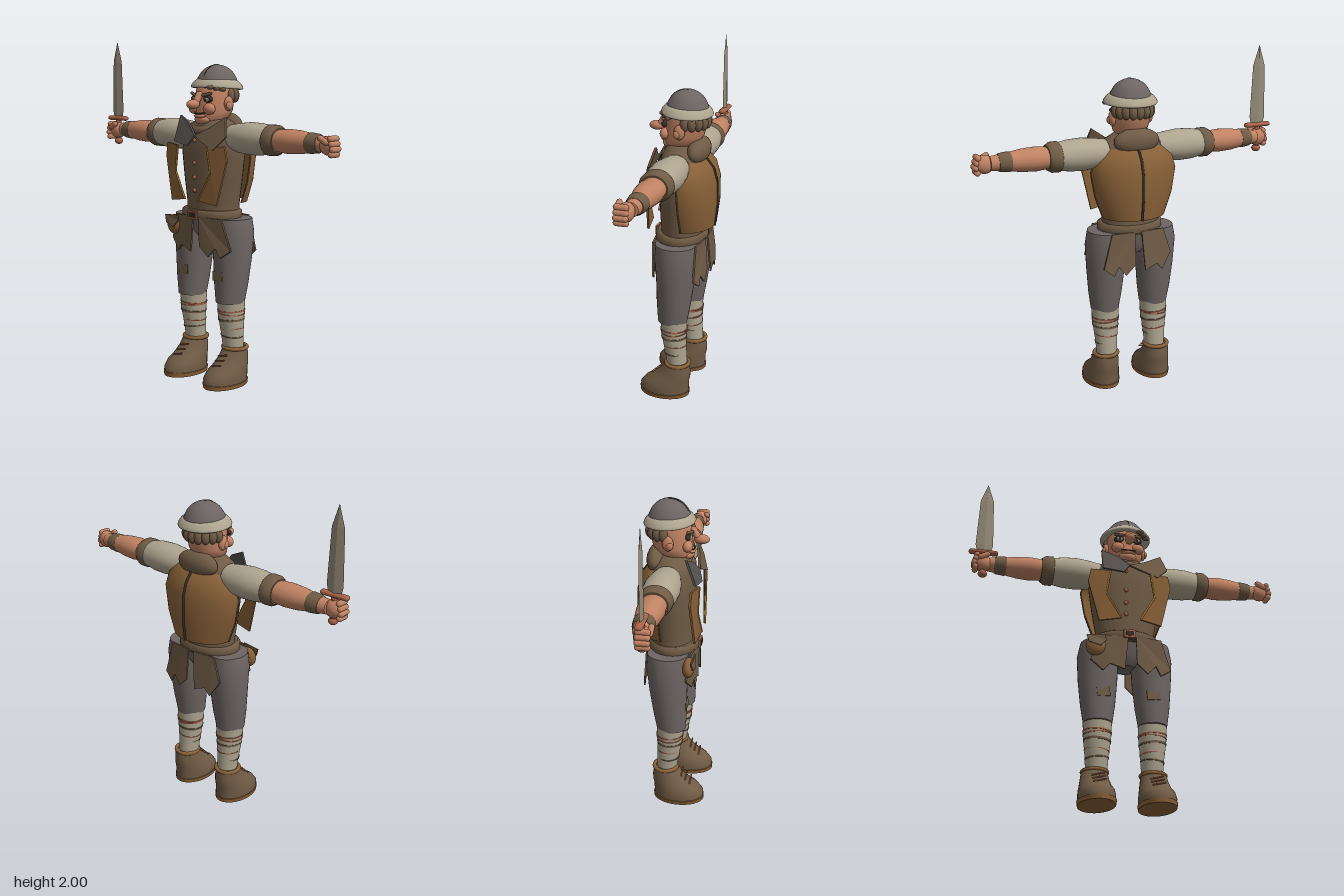
import * as THREE from 'three';

const mat = (name, color, side = THREE.FrontSide) => {
  const m = new THREE.MeshStandardMaterial({ color, side });
  m.name = name;
  return m;
};
const D = THREE.DoubleSide;
const skin = mat('skin', 0xc08263), cream = mat('cream cloth', 0xaea48f), tunic = mat('brown cloth', 0x6f5b45, D),
  leather = mat('leather', 0x876037, D), wool = mat('grey wool', 0x6d6563), steel = mat('dark grey', 0x57524f, D),
  dark = mat('near black', 0x332e29), gold = mat('gold trim', 0xa87c34), rust = mat('rust', 0xa8644a),
  blade = mat('blade', 0x958b78);

function add(parent, name, geo, material, x = 0, y = 0, z = 0) {
  const m = new THREE.Mesh(geo, material);
  m.name = name;
  m.position.set(x, y, z);
  parent.add(m);
  return m;
}

function group(parent, name) {
  const g = new THREE.Group();
  g.name = name;
  parent.add(g);
  return g;
}

// Elliptical cross-sections [y, rx, rz, cx, cz] joined upwards; closed rings get end caps
function loft(sections, n = 32, from = 0, sweep = Math.PI * 2) {
  const closed = sweep > 6.28, pos = [], idx = [];
  const flat = ([y, , , cx, cz]) => [y, 0, 0, cx, cz];
  const first = sections[0], last = sections[sections.length - 1];
  const rings = closed ? [flat(first), first, ...sections, last, flat(last)] : sections;
  const count = closed ? n : n + 1;
  for (const [y, rx, rz, cx = 0, cz = 0] of rings)
    for (let i = 0; i < count; i++) {
      const a = from + sweep * i / n;
      pos.push(cx + rx * Math.cos(a), y, cz + rz * Math.sin(a));
    }
  for (let r = 0; r < rings.length - 1; r++)
    for (let i = 0; i < n; i++) {
      const a = r * count + i, b = r * count + (i + 1) % count, c = a + count, d = b + count;
      idx.push(a, c, b, b, c, d);
    }
  const g = new THREE.BufferGeometry();
  g.setAttribute('position', new THREE.Float32BufferAttribute(pos, 3));
  g.setIndex(idx);
  g.computeVertexNormals();
  return g;
}

// Cut cloth plate whose depth follows a rule z(x, y)
function plate(points, depth, rule) {
  const g = new THREE.ExtrudeGeometry(new THREE.Shape(points.map(p => new THREE.Vector2(...p))), { depth, bevelEnabled: false });
  const p = g.attributes.position;
  for (let i = 0; i < p.count; i++) p.setZ(i, p.getZ(i) + rule(p.getX(i), p.getY(i)));
  g.computeVertexNormals();
  return g;
}

const ball = (rx, ry, rz) => new THREE.SphereGeometry(1, 24, 16).scale(rx, ry, rz);
const tube = (pts, r) => {
  const path = new THREE.CurvePath();
  const v = pts.map(p => new THREE.Vector3(...p));
  for (let i = 1; i < v.length; i++) path.add(new THREE.LineCurve3(v[i - 1], v[i]));
  return new THREE.TubeGeometry(path, 24, r, 6);
};

function buildLeg(root, s) {
  const leg = group(root, s > 0 ? 'leftLeg' : 'rightLeg');
  const x = 0.16 * s;
  add(leg, 'trouserLeg', loft([[0.49, 0.083, 0.088, 0, 0.008], [0.6, 0.1, 0.1, 0, 0], [0.75, 0.114, 0.112, 0, -0.01],
    [0.9, 0.122, 0.124, 0, -0.014], [0.985, 0.105, 0.12, 0, -0.012]]), wool, x);
  add(leg, 'stocking', loft([[0.19, 0.06, 0.06, 0, -0.02], [0.3, 0.067, 0.067, 0, -0.01], [0.4, 0.079, 0.075, 0, 0],
    [0.5, 0.083, 0.08, 0, 0]]), cream, x);
  // Worn bands and threads on the stocking
  for (const [y, h, m, r, tilt] of [[0.438, 0.004, rust, 0.083, 0.05], [0.423, 0.003, rust, 0.082, -0.05], [0.385, 0.006, tunic, 0.079, 0.06],
    [0.33, 0.003, rust, 0.072, 0.08], [0.285, 0.004, tunic, 0.068, -0.08]]) {
    const b = add(leg, 'stockingBand', loft([[-h, r, r - 0.002], [h, r + 0.001, r - 0.001]]), m, x, y, y < 0.35 ? -0.008 : -0.001);
    b.rotation.z = tilt * s;
  }
  add(leg, 'kneePatch', plate([[-0.035, -0.03], [0.04, -0.025], [0.035, 0.03], [-0.04, 0.025]], 0.006, px => 0.1 - 2 * px * px),
    tunic, 0.145 * s, 0.645, -0.002).rotation.x = -0.07;
  add(leg, 'shoe', loft([[0.02, 0.102, 0.15, 0, 0.057], [0.05, 0.104, 0.152, 0, 0.057], [0.085, 0.1, 0.138, 0, 0.043],
    [0.12, 0.09, 0.115, 0, 0.012], [0.16, 0.082, 0.093, 0, -0.011], [0.215, 0.073, 0.07, 0, -0.025]]), tunic, 0.17 * s);
  add(leg, 'sole', loft([[0, 0.104, 0.154, 0, 0.057], [0.025, 0.108, 0.156, 0, 0.057]]), leather, 0.17 * s);
  add(leg, 'shoeCuff', new THREE.TorusGeometry(0.07, 0.012, 10, 32).rotateX(Math.PI / 2), leather, 0.168 * s, 0.212, -0.025);
  for (let i = 0; i < 3; i++)
    add(leg, 'lace', new THREE.CapsuleGeometry(0.005, 0.07, 4, 8).rotateZ(Math.PI / 2 + 0.25), rust,
      0.165 * s, 0.125 + i * 0.025, 0.128 - i * 0.026);
}

function buildArm(root, s) {
  const arm = group(root, s > 0 ? 'leftArm' : 'rightArm');
  const limb = group(arm, 'limb');
  limb.position.set(0, 1.45, -0.015);
  limb.rotation.z = -s * Math.PI / 2;
  add(limb, 'sleeve', loft([[0.16, 0.075, 0.08], [0.23, 0.085, 0.095], [0.3, 0.093, 0.102], [0.38, 0.09, 0.099], [0.46, 0.076, 0.085]]), cream);
  add(limb, 'sleeveCuff', loft([[0.44, 0.077, 0.085], [0.45, 0.087, 0.095], [0.49, 0.086, 0.094], [0.515, 0.07, 0.078]]), tunic);
  add(limb, 'forearm', loft([[0.5, 0.06, 0.07], [0.58, 0.068, 0.077], [0.66, 0.064, 0.068], [0.75, 0.05, 0.052], [0.84, 0.04, 0.04]]), skin);
  add(limb, 'wristband', loft([[0.725, 0.054, 0.058], [0.735, 0.057, 0.06], [0.785, 0.052, 0.054], [0.795, 0.046, 0.05]]), tunic);
  // Closed fist
  const fist = group(arm, 'fist');
  fist.position.set(0.865 * s, 1.445, 0);
  add(fist, 'palm', ball(0.055, 0.052, 0.043), skin);
  for (let i = 0; i < 4; i++)
    add(fist, 'finger', new THREE.CapsuleGeometry(0.017, 0.05, 4, 12).rotateX(Math.PI / 2), skin,
      s * (0.05 - 0.007 * Math.abs(i - 2)), 0.038 - i * 0.027, 0.012);
  add(fist, 'thumb', new THREE.CapsuleGeometry(0.016, 0.045, 4, 12).rotateZ(s * 1.1), skin, -0.005 * s, 0.03, 0.045);
}

function buildHead(root) {
  const head = group(root, 'head');
  add(head, 'neck', new THREE.CylinderGeometry(0.07, 0.085, 0.12, 24), skin, 0, 1.52, -0.015);
  add(head, 'skull', loft([[1.52, 0.03, 0.04, 0, 0.03], [1.535, 0.07, 0.075, 0, 0.015], [1.56, 0.095, 0.1, 0, 0], [1.6, 0.108, 0.115, 0, -0.012],
    [1.66, 0.107, 0.12, 0, -0.022], [1.72, 0.108, 0.122, 0, -0.03], [1.77, 0.095, 0.1, 0, -0.035]]), skin);
  add(head, 'chin', ball(0.055, 0.03, 0.035), skin, 0, 1.55, 0.078);
  add(head, 'noseBridge', new THREE.CapsuleGeometry(0.02, 0.06, 6, 16), skin, 0, 1.665, 0.12).rotation.x = -0.55;
  add(head, 'noseTip', ball(0.03, 0.027, 0.045), skin, 0, 1.638, 0.152);
  add(head, 'lip', ball(0.045, 0.012, 0.02), skin, 0, 1.57, 0.1);
  add(head, 'mouth', tube([[-0.05, 1.592, 0.092], [-0.02, 1.583, 0.112], [0.02, 1.583, 0.112], [0.05, 1.592, 0.092]], 0.004), dark);
  for (const s of [-1, 1]) {
    add(head, 'cheek', ball(0.04, 0.033, 0.03), skin, 0.06 * s, 1.612, 0.082);
    add(head, 'eyeSocket', ball(0.034, 0.021, 0.016), dark, 0.053 * s, 1.667, 0.084);
    add(head, 'eye', ball(0.02, 0.012, 0.01), blade, 0.053 * s, 1.664, 0.096);
    add(head, 'pupil', ball(0.007, 0.008, 0.004), dark, 0.052 * s, 1.664, 0.104);
    const brow = add(head, 'brow', new THREE.CapsuleGeometry(0.009, 0.05, 4, 10).rotateZ(Math.PI / 2), tunic, 0.055 * s, 1.694, 0.096);
    brow.rotation.set(0, 0.35 * s, 0.22 * s);
    add(head, 'ear', ball(0.02, 0.043, 0.032), skin, 0.116 * s, 1.64, -0.02);
    add(head, 'earLobe', ball(0.012, 0.022, 0.02), skin, 0.13 * s, 1.63, -0.008);
  }
  // Curls around the nape
  for (let i = 0; i < 9; i++) {
    const a = Math.PI * (1.02 + 0.96 * i / 8);
    add(head, 'hairCurl', ball(0.026, 0.042, 0.026), tunic, 0.105 * Math.cos(a), 1.685, -0.04 + 0.105 * Math.sin(a));
  }
  for (let i = 0; i < 3; i++)
    add(head, 'foreLock', ball(0.024, 0.014, 0.018), tunic, 0.075 + 0.025 * i, 1.735 - 0.006 * i, 0.09 - 0.025 * i);
  // Cap with a soft rolled brim
  const hat = group(head, 'hat');
  hat.position.set(0.008, 1.745, -0.033);
  hat.rotation.x = -0.06;
  const turn = pts => new THREE.LatheGeometry(new THREE.SplineCurve(pts.map(p => new THREE.Vector2(...p))).getPoints(24), 36);
  add(hat, 'crown', turn([[0.122, 0], [0.115, 0.035], [0.085, 0.082], [0.04, 0.11], [0, 0.117]]), wool);
  add(hat, 'brim', turn([[0.1, -0.015], [0.145, -0.022], [0.157, -0.012], [0.14, 0.015], [0.118, 0.03], [0.1, 0.03]]), cream).scale.z = 0.94;
  add(hat, 'crownSeam', new THREE.TorusGeometry(0.117, 0.003, 6, 24, Math.PI / 2).rotateY(-Math.PI / 2), dark);
}

function buildTorso(root) {
  const body = group(root, 'torso');
  add(body, 'hips', loft([[0.84, 0.07, 0.07], [0.9, 0.14, 0.11], [1.0, 0.18, 0.128]]), wool, 0, 0, -0.01);
  add(body, 'tunic', loft([[0.97, 0.175, 0.132], [1.05, 0.173, 0.13], [1.2, 0.2, 0.133], [1.35, 0.222, 0.135], [1.45, 0.215, 0.13],
    [1.51, 0.17, 0.11], [1.55, 0.09, 0.085]]), tunic, 0, 0, -0.01);
  for (const y of [1.43, 1.3, 1.215, 1.14]) add(body, 'button', ball(0.013, 0.013, 0.01), rust, -0.02, y, 0.123);
  // Waistcoat: curved back with edging, and two standing front panels
  const back = [[1.07, 0.19, 0.15, 0, -0.05], [1.2, 0.238, 0.165, 0, -0.05], [1.34, 0.263, 0.163, 0, -0.05],
    [1.42, 0.24, 0.14, 0, -0.05], [1.47, 0.185, 0.1, 0, -0.05], [1.5, 0.1, 0.05, 0, -0.05]];
  add(body, 'waistcoatBack', loft(back, 32, Math.PI, Math.PI), leather);
  add(body, 'backSeam', tube(back.map(([y, , rz]) => [0.01, y, -0.05 - rz]), 0.008), dark);
  const front = x => 0.16 - 0.6 * x * x;
  for (const s of [-1, 1]) {
    add(body, 'backEdge', tube(back.map(([y, rx]) => [s * rx, y, -0.05]), 0.005), tunic);
    const panel = [[0.055, 1.09], [0.185, 1.07], [0.25, 1.33], [0.235, 1.41], [0.12, 1.4], [0.145, 1.25]].map(([x, y]) => [s * x, y]);
    add(body, 'waistcoatFront', plate(panel, 0.012, front), leather);
    add(body, 'frontTrim', tube([panel[4], panel[5], panel[0]].map(([x, y]) => [x, y, front(x) + 0.01]), 0.006), gold);
  }
  // Hood roll and torn collar points
  add(body, 'hood', ball(0.14, 0.075, 0.06), tunic, 0, 1.515, -0.1);
  add(body, 'neckRoll', new THREE.TorusGeometry(0.1, 0.028, 12, 32).rotateX(Math.PI / 2), tunic, 0, 1.505, -0.005).rotation.x = 0.2;
  const slope = (x, y) => 0.145 - 0.35 * (y - 1.42) - 0.3 * x * x;
  add(body, 'rightCollar', plate([[-0.165, 1.57], [-0.165, 1.42], [-0.04, 1.4], [0, 1.46], [-0.075, 1.53]], 0.014, slope), steel);
  add(body, 'leftCollar', plate([[0.2, 1.57], [0.1, 1.505], [0, 1.46], [0.06, 1.43], [0.165, 1.385], [0.235, 1.46]], 0.014, slope), tunic);
  // Belt, buckle and pouch
  const belt = group(body, 'belt');
  add(belt, 'beltBand', loft([[0.975, 0.187, 0.14], [0.985, 0.198, 0.152], [1.02, 0.198, 0.152], [1.03, 0.18, 0.138]], 40), tunic);
  add(belt, 'buckle', new THREE.BoxGeometry(0.07, 0.05, 0.014), rust, -0.005, 1.0, 0.153);
  add(belt, 'buckleInset', new THREE.BoxGeometry(0.046, 0.028, 0.008), dark, -0.005, 1.0, 0.159);
  add(belt, 'pouch', ball(0.06, 0.06, 0.035), leather, -0.195, 0.92, 0.115);
  add(belt, 'pouchFlap', plate([[-0.06, 0.045], [-0.045, 0.0], [0.02, -0.02], [0.055, 0.02], [0.05, 0.055]], 0.008, x => 0.035 - 4 * x * x),
    tunic, -0.195, 0.93, 0.115);
  // Ragged tails, front and back
  const tails = [[[-0.17, 0.99], [-0.225, 0.84], [-0.155, 0.77], [-0.115, 0.81], [-0.03, 0.78], [-0.01, 0.99]],
    [[0.035, 0.99], [0.04, 0.82], [0.105, 0.765], [0.155, 0.82], [0.185, 0.765], [0.25, 0.81], [0.19, 0.99]]];
  for (const pts of tails) {
    add(body, 'frontTail', plate(pts, 0.01, x => 0.138 - 0.75 * x * x), tunic);
    add(body, 'backTail', plate(pts.map(([x, y]) => [x * 0.9, y < 0.83 ? y - 0.025 : y]), 0.01,
      (x, y) => -0.155 + 0.5 * x * x - 0.07 * (0.99 - y)), tunic);
  }
}

function buildSword(root) {
  const sword = group(root, 'sword');
  sword.position.x = -0.862;
  const edge = loft([[1.53, 0.042, 0.012], [1.57, 0.052, 0.012], [1.88, 0.04, 0.01], [2, 0.001, 0.001]], 4).toNonIndexed();
  edge.computeVertexNormals();
  add(sword, 'blade', edge, blade);
  add(sword, 'guard', new THREE.CapsuleGeometry(0.015, 0.145, 6, 12).rotateZ(Math.PI / 2).scale(1, 1, 1.5), rust, -0.002, 1.52);
  add(sword, 'grip', new THREE.CylinderGeometry(0.018, 0.018, 0.14, 16), rust, 0, 1.445);
  add(sword, 'pommel', ball(0.027, 0.022, 0.027), rust, 0, 1.375);
}

export function createModel() {
  const root = new THREE.Group();
  root.name = 'swordsman';
  for (const s of [-1, 1]) {
    buildLeg(root, s);
    buildArm(root, s);
  }
  buildTorso(root);
  buildHead(root);
  buildSword(root);
  return root;
}
